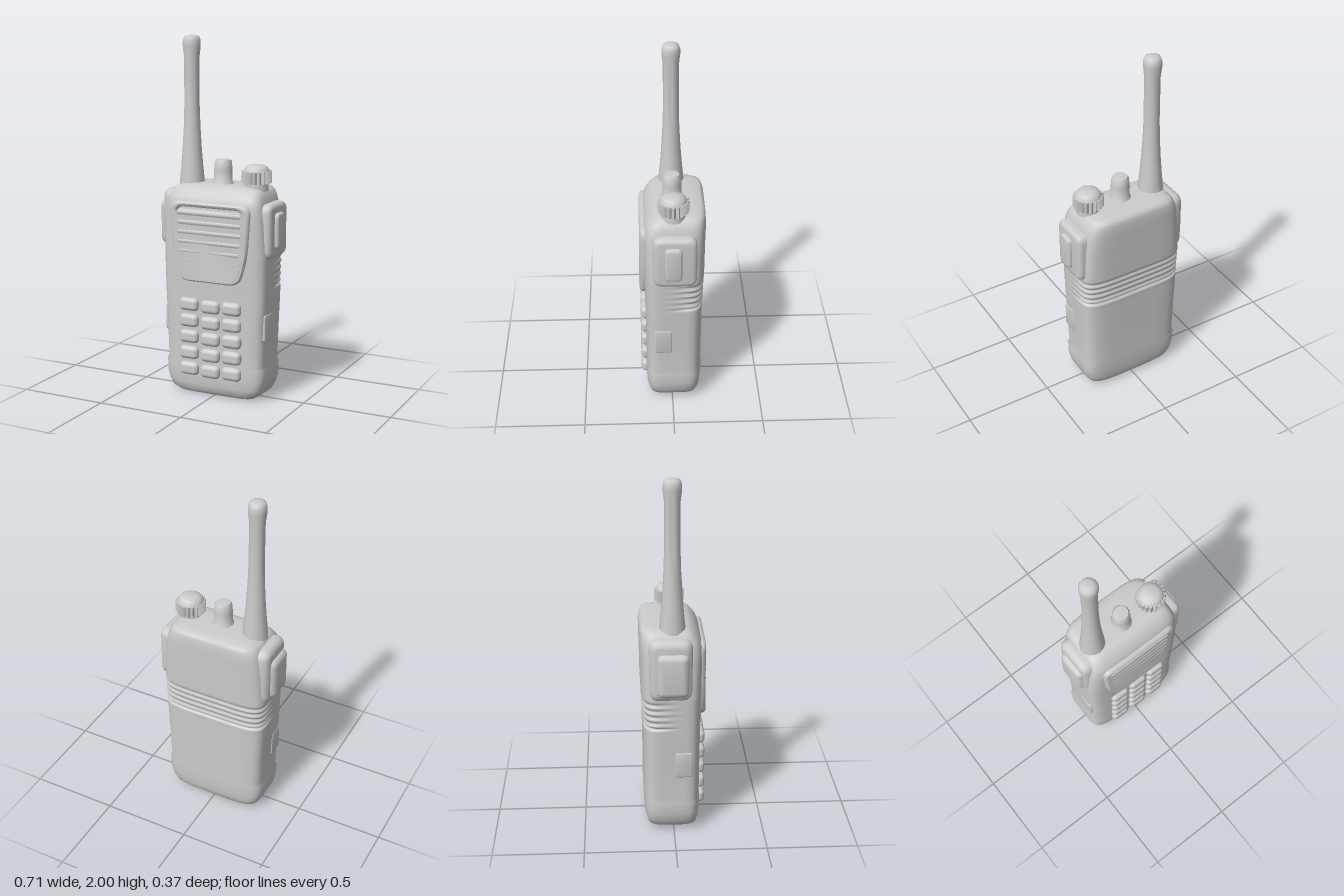
import * as THREE from 'three';
import { RoundedBoxGeometry } from 'three/addons/geometries/RoundedBoxGeometry.js';
import { toCreasedNormals } from 'three/addons/utils/BufferGeometryUtils.js';

const grey = new THREE.MeshStandardMaterial({ color: 0xcccccc });
grey.name = 'casing grey';

function add(parent, name, geometry, x = 0, y = 0, z = 0) {
  const mesh = new THREE.Mesh(geometry, grey);
  mesh.name = name;
  mesh.position.set(x, y, z);
  parent.add(mesh);
  return mesh;
}

// Polygon with rounded corners, as a Shape or a hole Path
function rounded(points, r, Type = THREE.Shape) {
  const path = new Type();
  const p = points.map(([x, y]) => new THREE.Vector2(x, y));
  p.forEach((c, i) => {
    const toward = (q) => c.clone().add(q.clone().sub(c).setLength(r));
    const a = toward(p[(i + p.length - 1) % p.length]);
    const b = toward(p[(i + 1) % p.length]);
    if (i === 0) path.moveTo(a.x, a.y);
    else path.lineTo(a.x, a.y);
    path.quadraticCurveTo(c.x, c.y, b.x, b.y);
  });
  path.closePath();
  return path;
}

// Extrusion from z = 0 to z = depth with a softened front edge
function plate(shape, depth, bevel) {
  const g = new THREE.ExtrudeGeometry(shape, {
    depth: depth - bevel, bevelEnabled: true, bevelThickness: bevel,
    bevelSize: bevel, bevelOffset: -bevel, bevelSegments: 3, curveSegments: 6,
  });
  return toCreasedNormals(g, 0.7);
}

// Casing rows: height, half width, front z, back z
const ROWS = [
  [0.005, 0.0, 0.0, 0.0], [0.005, 0.2, 0.09, 0.11], [0.012, 0.235, 0.115, 0.13],
  [0.035, 0.27, 0.135, 0.148], [0.07, 0.29, 0.143, 0.158], [0.12, 0.303, 0.147, 0.163],
  [0.19, 0.305, 0.148, 0.166], [0.205, 0.296, 0.146, 0.164], [0.4, 0.302, 0.148, 0.166],
  [0.6, 0.31, 0.15, 0.168], [0.82, 0.314, 0.155, 0.178], [1.0, 0.303, 0.16, 0.181],
  [1.09, 0.291, 0.16, 0.184], [1.13, 0.28, 0.144, 0.184], [1.16, 0.268, 0.122, 0.182],
  [1.18, 0.25, 0.1, 0.176], [1.19, 0.22, 0.08, 0.16], [1.195, 0.17, 0.05, 0.12],
  [1.197, 0.0, 0.0, 0.0],
];

function casingGeometry() {
  const rows = [];
  ROWS.forEach((row, i) => {
    rows.push(row);
    // extra rows carry the seam and the grip ribs
    if (row[0] !== 0.6) return;
    const next = ROWS[i + 1];
    for (let k = 1; k < 44; k++) rows.push(row.map((v, c) => v + (next[c] - v) * k / 44));
  });
  const N = 72, power = 2 / 5.4, pos = [], index = [];
  for (const [y, w, front, back] of rows) {
    const seam = -0.012 * Math.exp(-(((y - 0.645) / 0.007) ** 2));
    const ribs = y > 0.66 && y < 0.805 ? -0.007 * Math.sin((y - 0.66) / 0.145 * Math.PI * 4) ** 2 : 0;
    for (let j = 0; j < N; j++) {
      const t = j / N * Math.PI * 2, c = Math.cos(t), s = Math.sin(t);
      const ux = Math.sign(c) * Math.abs(c) ** power;
      const uz = Math.sign(s) * Math.abs(s) ** power;
      const rear = THREE.MathUtils.smoothstep(-uz, 0.05, 0.3);
      const d = (ribs + seam) * rear;
      pos.push(ux * (w + d), y, uz * ((s > 0 ? front : back) + d));
    }
  }
  for (let i = 0; i < rows.length - 1; i++) {
    for (let j = 0; j < N; j++) {
      const a = i * N + j, b = i * N + (j + 1) % N;
      index.push(a, a + N, b, b, a + N, b + N);
    }
  }
  const g = new THREE.BufferGeometry();
  g.setAttribute('position', new THREE.Float32BufferAttribute(pos, 3));
  g.setIndex(index);
  g.computeVertexNormals();
  return g;
}

function lathe(points, sides) {
  const g = new THREE.LatheGeometry(points.map(([r, y]) => new THREE.Vector2(r, y)), sides);
  return toCreasedNormals(g, 0.9);
}

// Plate on the side of the casing; side is +1 or -1, z runs from z0 to z1
function sidePlate(parent, name, side, z0, z1, y0, y1, x0, x1, r, bevel) {
  const [a, b] = side > 0 ? [-z1, -z0] : [z0, z1];
  const shape = rounded([[a, y0], [b, y0], [b, y1], [a, y1]], r);
  const g = plate(shape, x1 - x0, bevel).rotateY(side * Math.PI / 2);
  add(parent, name, g, side * x0, 0, 0);
}

export function createModel() {
  const model = new THREE.Group();
  model.name = 'handheldRadio';
  add(model, 'casing', casingGeometry());

  // Speaker grille: tapered frame, its sides swept back, around rounded slats
  const grille = new THREE.Group();
  grille.name = 'speakerGrille';
  model.add(grille);
  const frame = rounded([[-0.18, 0.665], [0.18, 0.665], [0.225, 0.83], [0.245, 1.11], [-0.245, 1.11], [-0.225, 0.83]], 0.06);
  frame.holes.push(rounded([[-0.165, 0.695], [-0.195, 0.82], [-0.2, 1.08], [0.2, 1.08], [0.195, 0.82], [0.165, 0.695]], 0.045, THREE.Path));
  const frameGeometry = plate(frame, 0.07, 0.018);
  const p = frameGeometry.attributes.position;
  for (let i = 0; i < p.count; i++) p.setZ(i, p.getZ(i) - 0.25 * p.getX(i) ** 2);
  add(grille, 'grilleFrame', toCreasedNormals(frameGeometry, 0.7), 0, 0, 0.115);
  for (let i = 0; i < 7; i++) {
    const slat = new THREE.CapsuleGeometry(0.02, 0.31 + Math.min(i, 3) * 0.018, 5, 12);
    slat.rotateZ(Math.PI / 2);
    add(grille, 'grilleSlat', slat, 0, 0.73 + i * 0.053, 0.158);
  }

  // Keypad: five rows of three pillowy keys
  const keypad = new THREE.Group();
  keypad.name = 'keypad';
  model.add(keypad);
  for (let row = 0; row < 5; row++) {
    for (let col = -1; col <= 1; col++) {
      const key = new RoundedBoxGeometry(0.114, 0.074, 0.052, 4, 0.025);
      add(keypad, 'key', key, col * 0.13, 0.53 - row * 0.0925 - (col ? 0 : 0.004), 0.15);
    }
  }

  // Side controls
  sidePlate(model, 'leftControlPanel', 1, -0.13, 0.105, 0.81, 1.11, 0.25, 0.336, 0.05, 0.025);
  sidePlate(model, 'leftButton', 1, -0.05, 0.045, 0.86, 1.06, 0.32, 0.357, 0.03, 0.015);
  sidePlate(model, 'rightControlPanel', -1, -0.135, 0.1, 0.81, 1.16, 0.25, 0.33, 0.06, 0.04);
  sidePlate(model, 'rightButton', -1, -0.095, 0.08, 0.84, 1.09, 0.3, 0.357, 0.04, 0.035);

  // Socket covers low on both sides
  for (const side of [-1, 1]) {
    sidePlate(model, 'socketCover', side, 0.005, 0.1, 0.35, 0.5, 0.27, 0.308, 0.015, 0.006);
  }

  // Antenna
  add(model, 'antenna', lathe([
    [0.072, 1.17], [0.07, 1.2], [0.062, 1.28], [0.054, 1.38], [0.047, 1.5], [0.043, 1.62],
    [0.043, 1.88], [0.05, 1.94], [0.05, 1.97], [0.042, 1.993], [0.025, 2], [0, 2],
  ], 14), -0.192, 0, -0.006);

  // Middle knob with a small collar
  add(model, 'channelKnob', lathe([
    [0.062, 1.18], [0.06, 1.195], [0.052, 1.205], [0.052, 1.27], [0.048, 1.315], [0.04, 1.328], [0, 1.332],
  ], 14), 0.002, 0, -0.005);

  // Volume knob: stem, toothed ring and domed cap
  const volume = new THREE.Group();
  volume.name = 'volumeKnob';
  volume.position.set(0.203, 0, -0.006);
  model.add(volume);
  add(volume, 'knobStem', lathe([[0.066, 1.17], [0.064, 1.22], [0, 1.22]], 20));
  const gear = new THREE.Shape();
  const teeth = 20;
  for (let i = 0; i < teeth * 2; i++) {
    const t = i / (teeth * 2) * Math.PI * 2, r = i % 2 ? 0.071 : 0.084;
    if (i === 0) gear.moveTo(r, 0);
    else gear.lineTo(r * Math.cos(t), r * Math.sin(t));
  }
  gear.closePath();
  const ring = new THREE.ExtrudeGeometry(gear, { depth: 0.065, bevelEnabled: false });
  add(volume, 'knobTeeth', ring.rotateX(-Math.PI / 2), 0, 1.212, 0);
  add(volume, 'knobCap', lathe([[0.074, 1.27], [0.07, 1.285], [0.06, 1.3], [0.04, 1.309], [0, 1.312]], 20));

  return model;
}
